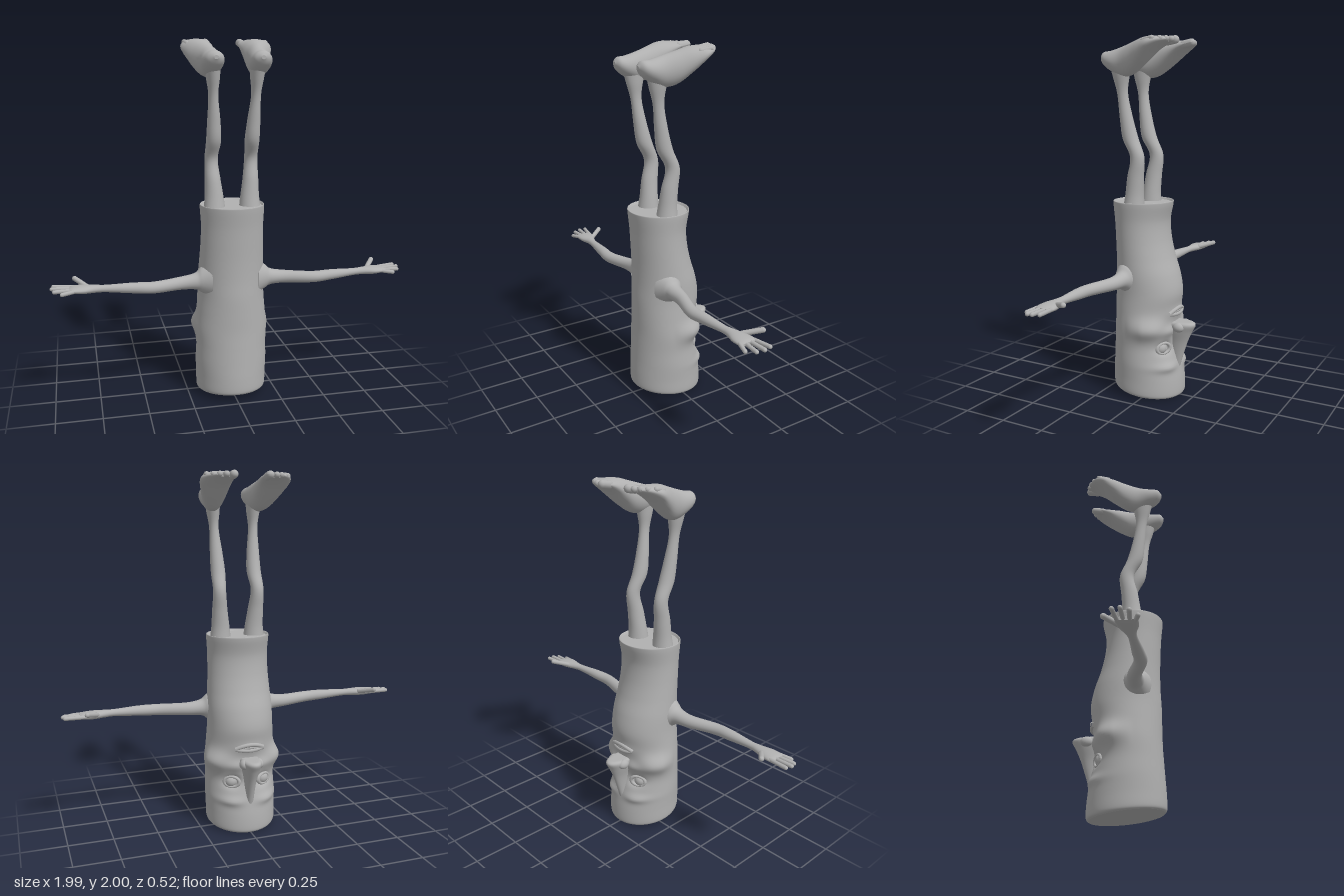
import * as THREE from 'three';

const skin = new THREE.MeshStandardMaterial({ color: 0xb0b0b0 });
skin.name = 'plain grey';

// Smooth blend through a list of key sections
function sample(keys, t) {
  const f = t * (keys.length - 1), i = Math.min(Math.floor(f), keys.length - 2), u = f - i;
  const k = (n) => keys[Math.max(0, Math.min(keys.length - 1, n))];
  return keys[i].map((_, c) => {
    const p0 = k(i - 1)[c], p1 = k(i)[c], p2 = k(i + 1)[c], p3 = k(i + 2)[c];
    return p1 + 0.5 * u * (p2 - p0 + u * (2 * p0 - 5 * p1 + 4 * p2 - p3 + u * (3 * (p1 - p2) + p3 - p0)));
  });
}

// Loft ellipses along an axis; key = [position, centre a, centre b, radius a, radius b]
// where (a, b) is (y, z) for axis x, (z, x) for axis y and (x, y) for axis z.
function loft(axis, keys, rows, n, warp) {
  const c = 'xyz'.indexOf(axis), a = (c + 1) % 3, b = (c + 2) % 3;
  const pos = [], index = [];
  const put = (p, q, r) => {
    const v = [0, 0, 0];
    v[c] = p; v[a] = q; v[b] = r;
    const w = new THREE.Vector3(...v);
    if (warp) warp(w);
    pos.push(w.x, w.y, w.z);
  };
  const ring = (k) => {
    for (let j = 0; j < n; j++) {
      const t = (j / n) * Math.PI * 2;
      put(k[0], k[1] + k[3] * Math.cos(t), k[2] + k[4] * Math.sin(t));
    }
  };
  for (let i = 0; i <= rows; i++) ring(sample(keys, i / rows));
  for (let i = 0; i < rows; i++) {
    for (let j = 0; j < n; j++) {
      const p = i * n + j, q = i * n + (j + 1) % n;
      index.push(p, q, q + n, p, q + n, p + n);
    }
  }
  // End caps
  for (const end of [0, 1]) {
    const k = keys[end ? keys.length - 1 : 0], s = pos.length / 3;
    ring(k);
    put(k[0], k[1], k[2]);
    for (let j = 0; j < n; j++) {
      const q = s + (j + 1) % n;
      if (end) index.push(s + n, s + j, q);
      else index.push(s + n, q, s + j);
    }
  }
  const g = new THREE.BufferGeometry();
  g.setAttribute('position', new THREE.Float32BufferAttribute(pos, 3));
  g.setIndex(index);
  g.computeVertexNormals();
  return g;
}

// Rounded digit between two points
function digit(p, q, r) {
  const A = new THREE.Vector3(...p), B = new THREE.Vector3(...q), d = B.clone().sub(A);
  const g = new THREE.CapsuleGeometry(r, d.length() - r, 6, 12);
  g.applyQuaternion(new THREE.Quaternion().setFromUnitVectors(new THREE.Vector3(0, 1, 0), d.normalize()));
  const m = A.add(B).multiplyScalar(0.5);
  return g.translate(m.x, m.y, m.z);
}

function mirrored(geo) {
  const g = geo.clone().scale(-1, 1, 1), ix = g.index.array;
  for (let i = 0; i < ix.length; i += 3) [ix[i], ix[i + 1]] = [ix[i + 1], ix[i]];
  g.computeVertexNormals();
  return g;
}

export function createModel() {
  const model = new THREE.Group();
  model.name = 'upsideDownFigure';
  const add = (name, geo) => {
    const m = new THREE.Mesh(geo, skin);
    m.name = name;
    model.add(m);
  };
  const pair = (name, geo) => {
    add('left' + name, geo);
    add('right' + name, mirrored(geo));
  };

  // Trunk-like head and body: [y, half width, back z, face z]
  const trunk = [
    [0, 0.187, 0.225, -0.165], [0.02, 0.198, 0.235, -0.178], [0.1, 0.2, 0.235, -0.175],
    [0.2, 0.203, 0.23, -0.16], [0.3, 0.2, 0.225, -0.14], [0.4, 0.203, 0.22, -0.14],
    [0.5, 0.195, 0.22, -0.148], [0.6, 0.188, 0.22, -0.162], [0.7, 0.186, 0.216, -0.145],
    [0.8, 0.18, 0.216, -0.112], [0.9, 0.175, 0.22, -0.088], [1.0, 0.173, 0.226, -0.08],
    [1.09, 0.178, 0.236, -0.097], [1.112, 0.176, 0.236, -0.098], [1.1, 0.165, 0.225, -0.087],
  ].map(([y, rx, zb, zf]) => [y, (zb + zf) / 2, 0, (zb - zf) / 2, rx]);
  // Face bumps: [x, y, spread x, spread y, height]
  const bumps = [
    [0.17, 0.41, 0.06, 0.055, 0.034], [0.09, 0.295, 0.04, 0.032, -0.03],
    [0.1, 0.185, 0.06, 0.025, 0.016], [0, 0.495, 0.08, 0.03, 0.008], [0.07, 0.39, 0.05, 0.03, 0.015],
  ];
  add('body', loft('y', trunk, 140, 96, (v) => {
    if (v.z < 0.08) {
      const fade = Math.min(1, (0.08 - v.z) / 0.1);
      const out = new THREE.Vector3(v.x, 0, v.z - 0.04).normalize();
      let h = 0;
      for (const [x, y, sx, sy, k] of bumps) {
        h += k * Math.exp(-(((Math.abs(v.x) - x) / sx) ** 2) - ((v.y - y) / sy) ** 2);
      }
      v.addScaledVector(out, h * fade);
    }
    // Slanted underside
    v.y += 0.045 * ((v.z + 0.18) / 0.42) * Math.max(0, 1 - v.y / 0.3);
  }));

  // Nose, widening upward to the nostrils
  add('nose', loft('y', [
    [0.17, -0.145, 0, 0.02, 0.02], [0.25, -0.145, 0, 0.044, 0.026], [0.32, -0.15, 0, 0.062, 0.034],
    [0.38, -0.155, 0, 0.083, 0.048], [0.42, -0.16, 0, 0.099, 0.056], [0.437, -0.155, 0, 0.094, 0.048],
    [0.44, -0.15, 0, 0.07, 0.03],
  ], 36, 32));
  pair('Nostril', new THREE.SphereGeometry(1, 20, 14).scale(0.026, 0.028, 0.035).translate(0.043, 0.412, -0.175));

  // Eyes with lids
  pair('Eye', new THREE.SphereGeometry(0.038, 24, 16).translate(0.092, 0.295, -0.085));
  pair('EyeLids', new THREE.TorusGeometry(0.042, 0.011, 10, 32).scale(1, 0.72, 1)
    .rotateY(-0.5).translate(0.094, 0.295, -0.108));

  // Lips and teeth, wrapped around the face
  const arc = (y, bend, w, out) => new THREE.CatmullRomCurve3([-1, -0.6, -0.2, 0.2, 0.6, 1].map((t) => new THREE.Vector3(
    t * w, y + bend * t * t, 0.038 - (0.185 + out) * Math.sqrt(1 - (t * w / 0.195) ** 2))));
  add('upperLip', new THREE.TubeGeometry(arc(0.482, 0.008, 0.08, 0.007), 30, 0.011, 10));
  add('lowerLip', new THREE.TubeGeometry(arc(0.515, -0.022, 0.08, 0.007), 30, 0.012, 10));
  add('teeth', new THREE.TubeGeometry(arc(0.498, -0.007, 0.07, 0.003), 30, 0.01, 8));

  // Legs rising from the flat top
  pair('Leg', loft('y', [
    [1.07, 0.075, 0.1, 0.062, 0.062], [1.15, 0.07, 0.1, 0.052, 0.052], [1.25, 0.06, 0.106, 0.047, 0.043],
    [1.36, 0.046, 0.111, 0.04, 0.036], [1.46, 0.09, 0.106, 0.045, 0.04], [1.57, 0.114, 0.109, 0.037, 0.035],
    [1.7, 0.133, 0.115, 0.031, 0.026], [1.79, 0.14, 0.118, 0.048, 0.036], [1.87, 0.14, 0.122, 0.07, 0.045],
  ], 48, 28));

  // Feet, soles upward and toes toward the face side
  pair('Foot', loft('z', [
    [-0.165, 0.14, 1.973, 0.045, 0.012], [-0.13, 0.153, 1.967, 0.076, 0.024], [-0.08, 0.163, 1.95, 0.088, 0.043],
    [-0.02, 0.156, 1.92, 0.08, 0.068], [0.05, 0.143, 1.885, 0.067, 0.083], [0.12, 0.13, 1.87, 0.059, 0.078],
    [0.19, 0.127, 1.875, 0.058, 0.055], [0.235, 0.124, 1.888, 0.044, 0.037], [0.256, 0.122, 1.893, 0.012, 0.01],
  ], 48, 28));
  [[0.098, -0.178, 0.022], [0.138, -0.172, 0.017], [0.17, -0.158, 0.016], [0.2, -0.138, 0.015], [0.226, -0.106, 0.015]]
    .forEach(([x, z, r], i) => pair('Toe' + (i + 1),
      digit([x * 0.9 + 0.012, 1.965, z + 0.06], [x, 1.977, z - 0.008], r)));

  // Arms stretched sideways
  pair('Arm', loft('x', [
    [0.13, 0.69, 0.09, 0.1, 0.085], [0.18, 0.692, 0.09, 0.07, 0.06], [0.215, 0.688, 0.095, 0.046, 0.045],
    [0.3, 0.684, 0.103, 0.036, 0.037], [0.45, 0.683, 0.143, 0.032, 0.034], [0.56, 0.688, 0.14, 0.029, 0.031],
    [0.7, 0.692, 0.13, 0.02, 0.022], [0.76, 0.693, 0.124, 0.021, 0.028], [0.82, 0.693, 0.12, 0.022, 0.047],
    [0.87, 0.694, 0.116, 0.017, 0.052], [0.895, 0.694, 0.116, 0.01, 0.045],
  ], 60, 28));

  // Fingers and thumb
  [[0.078, 0.982, 0.062, 0.7], [0.104, 0.99, 0.1, 0.698], [0.13, 0.977, 0.138, 0.692], [0.155, 0.937, 0.173, 0.685]]
    .forEach(([z0, x, z, y], i) => pair('Finger' + (i + 1), digit([0.865, 0.694, z0], [x, y, z], 0.011)));
  pair('Thumb', digit([0.8, 0.698, 0.095], [0.868, 0.725, 0.008], 0.014));

  return model;
}
